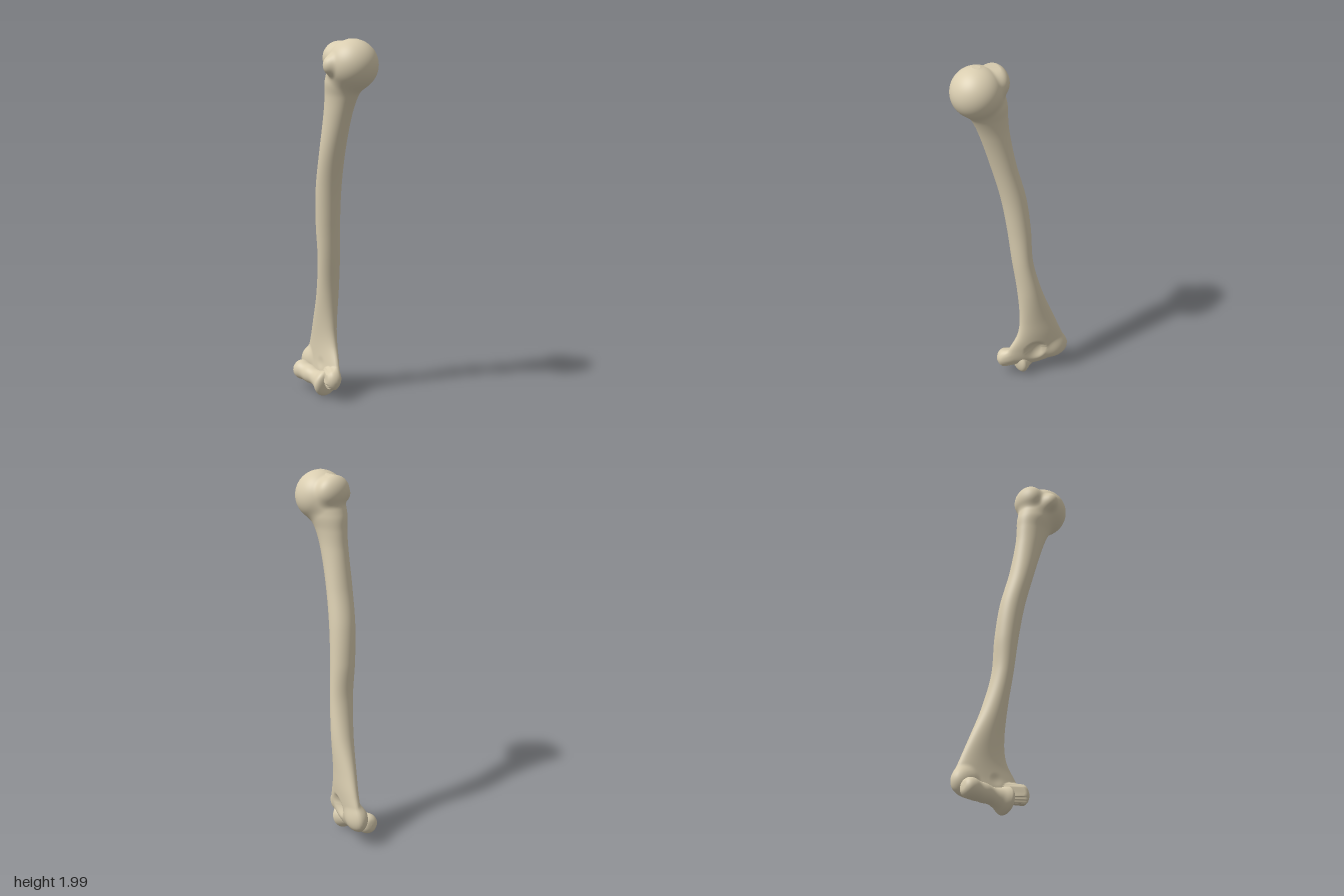
import * as THREE from 'three';

// Shaft cross-sections: y, xMin, xMax, zCentre, half depth, shear of z along x
const SECTIONS = [
  [0.06, -0.20, -0.06, -0.065, 0.015, 0.2],
  [0.09, -0.26, 0.00, -0.07, 0.035, 0.25],
  [0.13, -0.305, 0.05, -0.08, 0.042, 0.27],
  [0.20, -0.305, 0.03, -0.092, 0.044, 0.25],
  [0.30, -0.268, -0.015, -0.10, 0.048, 0.2],
  [0.40, -0.23, -0.03, -0.096, 0.052, 0.16],
  [0.60, -0.155, -0.022, -0.08, 0.064, 0.1],
  [0.80, -0.11, 0.0, -0.058, 0.067, 0],
  [1.00, -0.106, 0.02, -0.04, 0.07, 0],
  [1.20, -0.085, 0.05, -0.022, 0.072, 0],
  [1.40, -0.036, 0.10, -0.003, 0.072, 0],
  [1.60, 0.0, 0.165, 0.005, 0.07, 0],
  [1.70, 0.01, 0.21, 0.005, 0.077, 0],
  [1.78, 0.018, 0.265, 0.005, 0.095, 0],
  [1.88, 0.06, 0.27, 0.0, 0.09, 0],
  [2.00, 0.18, 0.20, 0.0, 0.01, 0],
];

// Ellipsoid masses blended onto the shaft: centre, radii
const KNOBS = [
  [0.19, 1.865, 0, 0.135, 0.135, 0.135],          // ball head
  [0.085, 1.9, 0.0, 0.068, 0.088, 0.098],         // greater tubercle
  [0.152, 1.865, 0.108, 0.045, 0.054, 0.054],     // lesser tubercle
  [-0.25, 0.165, -0.11, 0.074, 0.075, 0.052],     // lateral epicondyle
  [0.028, 0.125, -0.008, 0.048, 0.06, 0.044],     // medial epicondyle
];

// Hollows above the elbow joint, front and back
const HOLLOWS = [
  [-0.115, 0.195, -0.005, 0.042, 0.036, 0.032],
  [-0.1, 0.185, -0.135, 0.06, 0.06, 0.035],
];

// Smooth (non-uniform Hermite) interpolation of the section table
function sectionAt(y) {
  const S = SECTIONS, n = S.length;
  let i = 0;
  while (i < n - 2 && y > S[i + 1][0]) i++;
  const h = S[i + 1][0] - S[i][0];
  const t = THREE.MathUtils.clamp((y - S[i][0]) / h, 0, 1);
  const slope = (k, c) => {
    const a = Math.max(k - 1, 0), b = Math.min(k + 1, n - 1);
    return (S[b][c] - S[a][c]) / (S[b][0] - S[a][0]);
  };
  const v = c => {
    const t2 = t * t, t3 = t2 * t;
    return (2 * t3 - 3 * t2 + 1) * S[i][c] + (t3 - 2 * t2 + t) * h * slope(i, c)
      + (3 * t2 - 2 * t3) * S[i + 1][c] + (t3 - t2) * h * slope(i + 1, c);
  };
  const x0 = v(1), x1 = v(2);
  return { cx: (x0 + x1) / 2, a: Math.max((x1 - x0) / 2, 0.006), cz: v(3), b: Math.max(v(4), 0.006), s: v(5) };
}

function ellipsoid([cx, cy, cz, rx, ry, rz], x, y, z) {
  const px = (x - cx) / rx, py = (y - cy) / ry, pz = (z - cz) / rz;
  const k0 = Math.hypot(px, py, pz), k1 = Math.hypot(px / rx, py / ry, pz / rz);
  return k1 < 1e-6 ? -Math.min(rx, ry, rz) : k0 * (k0 - 1) / k1;
}

function smoothMin(a, b, k) {
  const h = Math.max(k - Math.abs(a - b), 0) / k;
  return Math.min(a, b) - h * h * k * 0.25;
}

// Signed field of the bone: negative inside
function field(sec, x, y, z) {
  const u = x - sec.cx, w = z - sec.cz - sec.s * u;
  let d = (Math.hypot(u / sec.a, w / sec.b) - 1) * Math.min(sec.a, sec.b);
  for (const k of KNOBS) d = smoothMin(d, ellipsoid(k, x, y, z), 0.02);
  for (const k of HOLLOWS) d = -smoothMin(-d, ellipsoid(k, x, y, z), 0.02);
  return d;
}

// Skin the field with horizontal rings, each point found along a ray from the core
function boneGeometry(rows, sides, yMin, yMax) {
  const pos = [], idx = [];
  for (let i = 0; i <= rows; i++) {
    const t = i / rows;
    const y = yMin + (yMax - yMin) * (0.5 - 0.5 * Math.cos(Math.PI * t));
    const sec = sectionAt(y);
    for (let j = 0; j < sides; j++) {
      const ang = (j / sides) * Math.PI * 2;
      const dx = Math.cos(ang), dz = Math.sin(ang);
      const f = r => field(sec, sec.cx + dx * r, y, sec.cz + dz * r);
      let hi = 0.3;
      while (hi > 0.006 && f(hi - 0.005) > 0) hi -= 0.005;
      let lo = Math.max(hi - 0.005, 0);
      for (let k = 0; k < 12; k++) {
        const m = (lo + hi) / 2;
        if (f(m) > 0) hi = m; else lo = m;
      }
      pos.push(sec.cx + dx * lo, y, sec.cz + dz * lo);
    }
  }
  for (let i = 0; i < rows; i++) {
    for (let j = 0; j < sides; j++) {
      const k = (j + 1) % sides;
      const a = i * sides + j, b = i * sides + k, c = a + sides, d = b + sides;
      idx.push(a, c, b, b, c, d);
    }
  }
  // End caps
  const bottom = pos.length / 3, top = bottom + 1, last = rows * sides;
  const s0 = sectionAt(yMin), s1 = sectionAt(yMax);
  pos.push(s0.cx, yMin, s0.cz, s1.cx, yMax, s1.cz);
  for (let j = 0; j < sides; j++) {
    const k = (j + 1) % sides;
    idx.push(bottom, j, k, top, last + k, last + j);
  }
  const g = new THREE.BufferGeometry();
  g.setAttribute('position', new THREE.Float32BufferAttribute(pos, 3));
  g.setIndex(idx);
  g.computeVertexNormals();
  return g;
}

// Spool-shaped elbow joint: rounded lateral end, groove and a large medial flange
function jointGeometry() {
  const profile = [
    [0, -0.312], [0.03, -0.308], [0.05, -0.29], [0.056, -0.262], [0.05, -0.225],
    [0.051, -0.185], [0.046, -0.14], [0.056, -0.1], [0.071, -0.07], [0.076, -0.052],
    [0.066, -0.036], [0.04, -0.026], [0, -0.022],
  ].map(([r, x]) => new THREE.Vector2(r, x + 0.052));
  const curve = new THREE.SplineCurve(profile);
  const pts = curve.getPoints(60).map(p => new THREE.Vector2(Math.max(p.x, 0), p.y));
  const g = new THREE.LatheGeometry(pts, 48);
  g.rotateZ(-Math.PI / 2);
  return g;
}

export function createModel() {
  const group = new THREE.Group();
  group.name = 'upperArmBone';
  const bone = new THREE.MeshStandardMaterial({ color: 0xd9cdb0 });
  bone.name = 'bone';

  const body = new THREE.Mesh(boneGeometry(220, 96, 0.075, 1.9995), bone);
  body.name = 'shaftAndHead';

  const joint = new THREE.Mesh(jointGeometry(), bone);
  joint.name = 'elbowJoint';
  joint.position.set(-0.052, 0.086, -0.034);
  joint.rotation.set(0, -0.06, -0.14);

  group.add(body, joint);
  return group;
}
